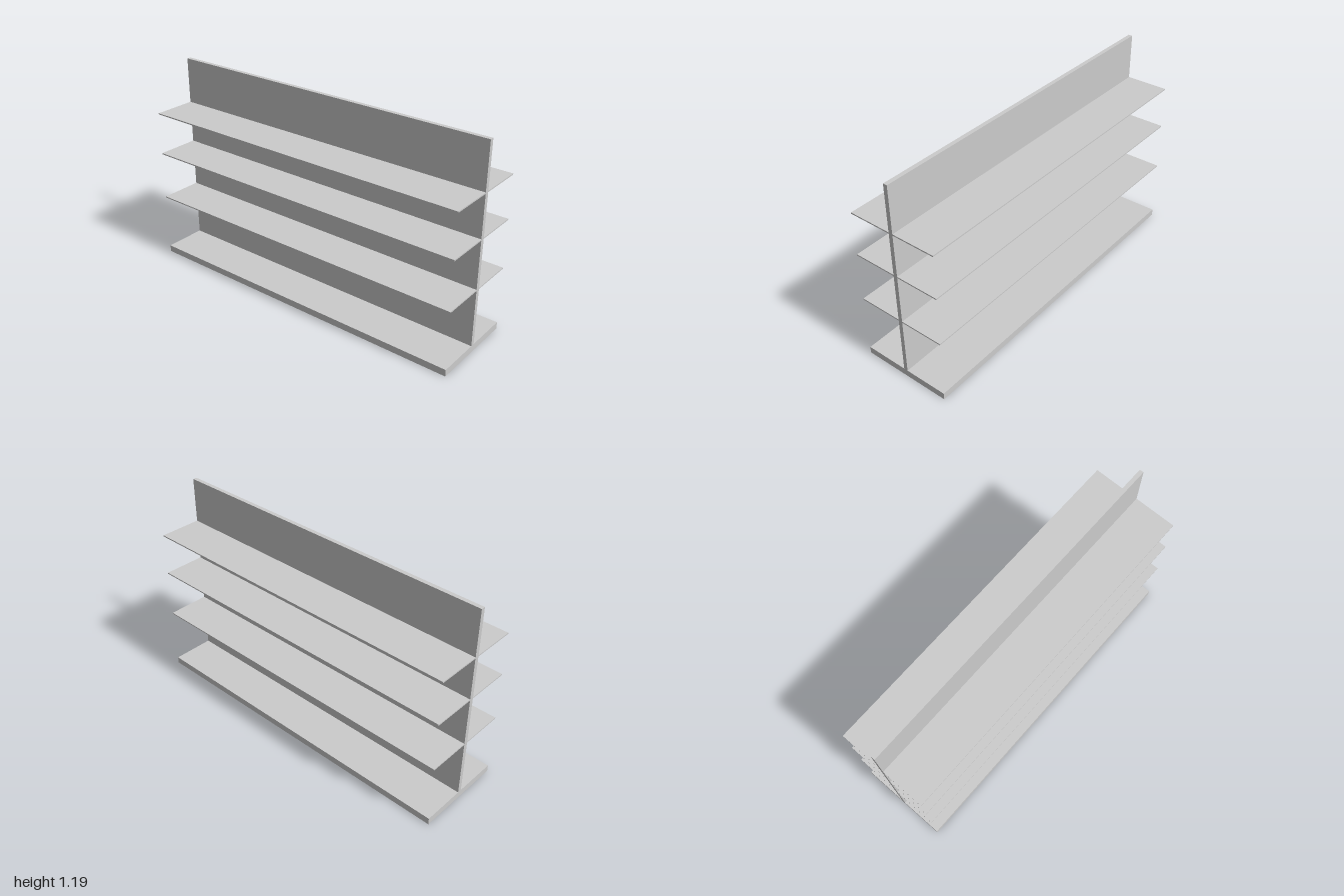
import * as THREE from 'three';

const WIDTH = 2;
const DEPTH = 0.528;
const HEIGHT = 1.19;
const BASE_HEIGHT = 0.04;
const PANEL_THICKNESS = 0.024;
const SHELF_THICKNESS = 0.007;
const SHELF_LEVELS = [0.378, 0.665, 0.917];

export function createModel() {
  const group = new THREE.Group();
  group.name = 'doubleSidedShelving';
  const material = new THREE.MeshStandardMaterial({ color: 0xcccccc });

  // Full-width board centred at the given y and z
  const addBoard = (name, height, depth, y, z = 0) => {
    const mesh = new THREE.Mesh(new THREE.BoxGeometry(WIDTH, height, depth), material);
    mesh.name = name;
    mesh.position.set(0, y, z);
    group.add(mesh);
  };

  // Plinth and central upright panel
  addBoard('base', BASE_HEIGHT, DEPTH, BASE_HEIGHT / 2);
  const panelHeight = HEIGHT - BASE_HEIGHT;
  addBoard('backPanel', panelHeight, PANEL_THICKNESS, BASE_HEIGHT + panelHeight / 2);

  // Thin shelves mirrored on both faces of the panel
  const shelfDepth = (DEPTH - PANEL_THICKNESS) / 2;
  const shelfZ = (PANEL_THICKNESS + shelfDepth) / 2;
  SHELF_LEVELS.forEach((y, i) => {
    addBoard(`frontShelf${i + 1}`, SHELF_THICKNESS, shelfDepth, y, shelfZ);
    addBoard(`rearShelf${i + 1}`, SHELF_THICKNESS, shelfDepth, y, -shelfZ);
  });

  return group;
}
